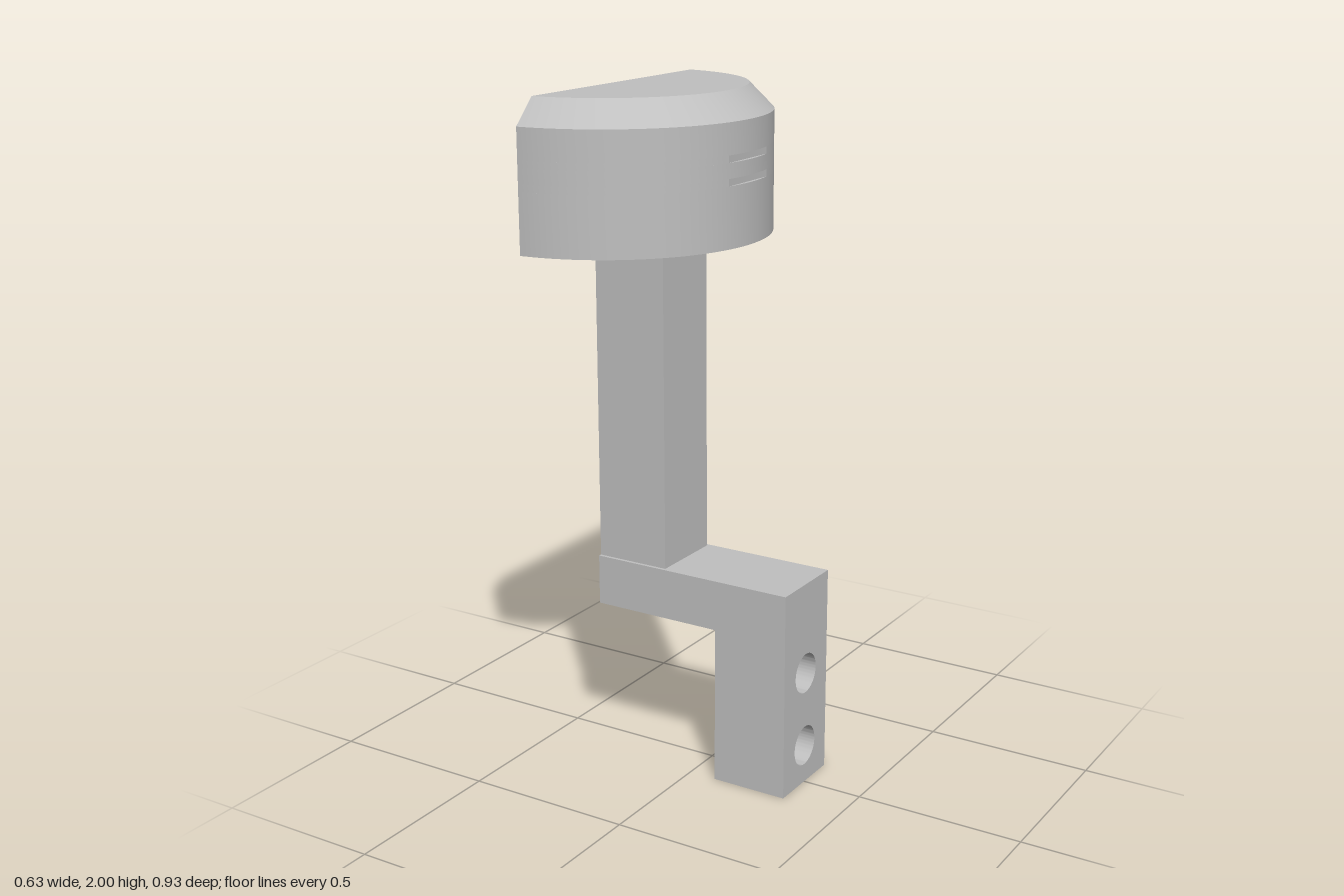
import * as THREE from 'three';
import { toCreasedNormals } from 'three/addons/utils/BufferGeometryUtils.js';

const CX = -0.3385, R = 0.4635; // axis and radius of the rounded head
const BACK = -0.317;            // shared flat plane of head, post and arm
const HALF = 0.125;             // half width of the bracket

export function createModel() {
  const group = new THREE.Group();
  const grey = new THREE.MeshStandardMaterial({ color: 0xc0c0c0 });
  grey.name = 'plain grey';

  function add(name, geometry, parent = group) {
    const mesh = new THREE.Mesh(geometry, grey);
    mesh.name = name;
    parent.add(mesh);
    return mesh;
  }

  function block(name, x0, x1, y0, y1, halfZ) {
    add(name, new THREE.BoxGeometry(x1 - x0, y1 - y0, halfZ * 2))
      .position.set((x0 + x1) / 2, (y0 + y1) / 2, 0);
  }

  // Half-round slab; chord flattens the middle of the arc, topScale tapers it
  function slab(y0, y1, chord = 0, topScale = 1) {
    const end = Math.acos((BACK - CX) / R);
    const gap = Math.asin(chord / R);
    const points = [];
    const arc = (a, b, n) => {
      for (let i = 0; i <= n; i++) {
        const t = a + (b - a) * i / n;
        points.push(new THREE.Vector2(CX + R * Math.cos(t), R * Math.sin(t)));
      }
    };
    if (chord) {
      arc(-end, -gap, 36);
      arc(gap, end, 36);
    } else {
      arc(-end, end, 80);
    }
    const geo = new THREE.ExtrudeGeometry(new THREE.Shape(points), { depth: y1 - y0, bevelEnabled: false });
    geo.rotateX(-Math.PI / 2);
    geo.translate(0, y0, 0);
    const pos = geo.attributes.position;
    for (let i = 0; i < pos.count; i++) {
      if (pos.getY(i) < y1 - 0.001) continue;
      pos.setX(i, Math.max(BACK, CX + (pos.getX(i) - CX) * topScale));
      pos.setZ(i, pos.getZ(i) * topScale);
    }
    return toCreasedNormals(geo, 0.2);
  }

  // Head: plain bands with two shallow slots, then the chamfered top
  const head = new THREE.Group();
  head.name = 'head';
  group.add(head);
  const levels = [1.585, 1.757, 1.777, 1.82, 1.84, 1.928];
  for (let i = 0; i < levels.length - 1; i++) {
    const slot = i % 2 === 1;
    add(slot ? 'headSlot' : 'headBand', slab(levels[i], levels[i + 1], slot ? 0.1 : 0), head);
  }
  add('headChamfer', slab(1.928, 2, 0, 0.848), head);

  // Upright post and the offset arm below it
  block('post', BACK, -0.09, 0.625, 1.585, 0.115);
  block('arm', BACK, 0.085, 0.475, 0.625, HALF);

  // Mounting leg with two through holes
  const side = new THREE.Shape();
  side.moveTo(-HALF, 0).lineTo(HALF, 0).lineTo(HALF, 0.625).lineTo(-HALF, 0.625).closePath();
  for (const y of [0.117, 0.347]) {
    side.holes.push(new THREE.Path().absarc(0, y, 0.06, 0, Math.PI * 2, true));
  }
  const leg = new THREE.ExtrudeGeometry(side, { depth: 0.232, bevelEnabled: false, curveSegments: 40 });
  leg.rotateY(Math.PI / 2);
  leg.translate(0.085, 0, 0);
  add('mountingLeg', toCreasedNormals(leg, 0.5));

  return group;
}
